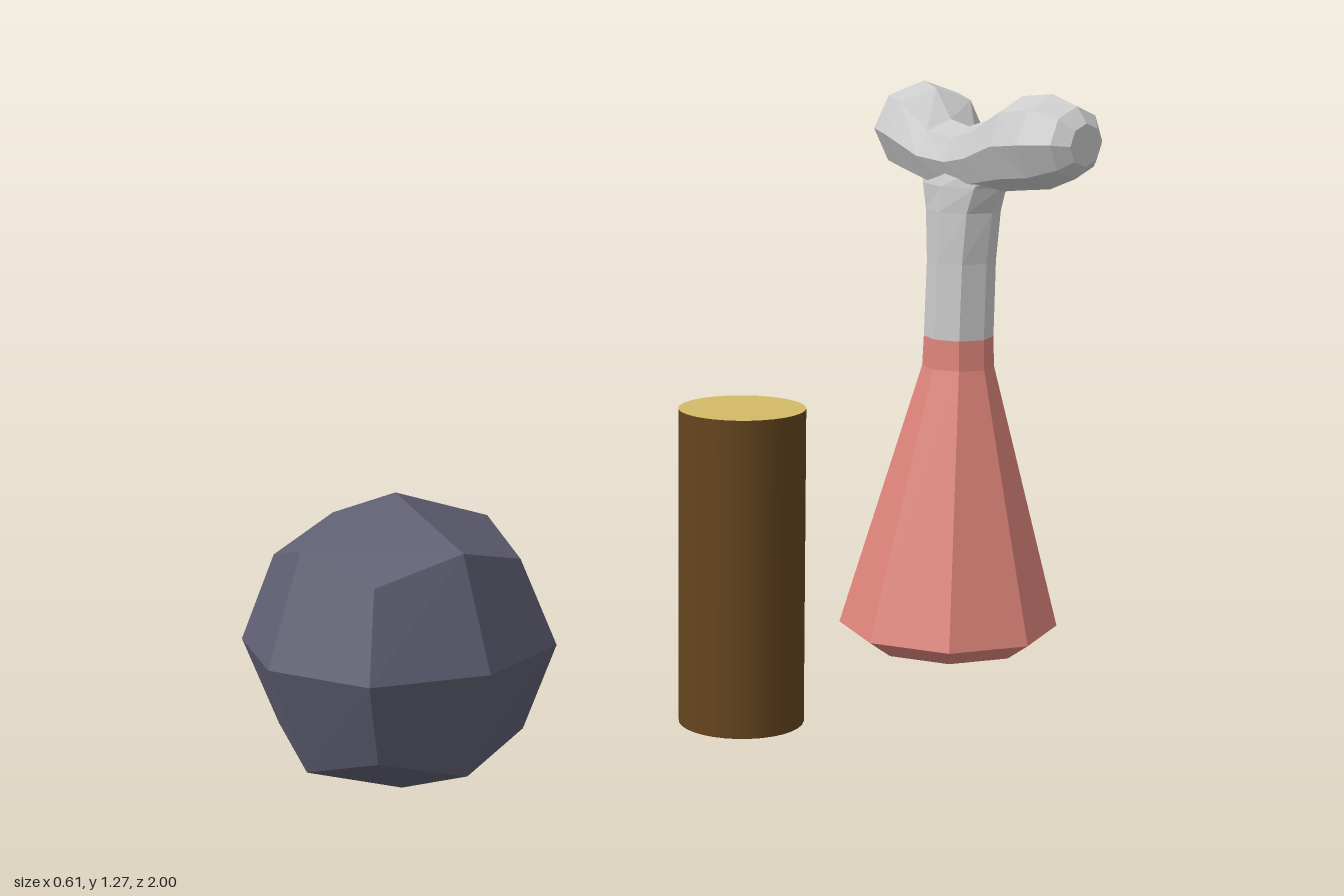
import * as THREE from 'three';

const SIDES = 8;
const mat = (color, flatShading = true) => new THREE.MeshStandardMaterial({ color, flatShading });

function part(name, geometry, material) {
  const mesh = new THREE.Mesh(geometry, material);
  mesh.name = name;
  return mesh;
}

// Octagonal ring about `centre`; u x v points along the loft.
function ring(centre, u, v, ru, rv) {
  return Array.from({ length: SIDES }, (_, j) => {
    const t = (j / SIDES) * Math.PI * 2;
    return centre.clone().addScaledVector(u, Math.cos(t) * ru).addScaledVector(v, Math.sin(t) * rv);
  });
}

// Skin a list of rings, with optional end caps.
function loft(rings, capped) {
  const pos = [];
  const tri = (...pts) => pts.forEach((p) => pos.push(p.x, p.y, p.z));
  for (let j = 0; j < SIDES; j++) {
    const k = (j + 1) % SIDES;
    for (let i = 0; i < rings.length - 1; i++) {
      const [r, s] = [rings[i], rings[i + 1]];
      tri(r[j], r[k], s[k]);
      tri(r[j], s[k], s[j]);
    }
    if (capped) {
      const first = rings[0], last = rings[rings.length - 1];
      tri(first[0], first[k], first[j]);
      tri(last[0], last[j], last[k]);
    }
  }
  const g = new THREE.BufferGeometry();
  g.setAttribute('position', new THREE.Float32BufferAttribute(pos, 3));
  g.computeVertexNormals();
  return g;
}

const X = new THREE.Vector3(1, 0, 0), Y = new THREE.Vector3(0, 1, 0), Z = new THREE.Vector3(0, 0, 1);

// Upright loft from [y, x, z, radiusX, radiusZ] stations
const upright = (stations) =>
  loft(stations.map(([y, x, z, rx, rz]) => ring(new THREE.Vector3(x, y, z), Z, X, rz, rx)), false);

// Sideways loft from [x, y, z, radiusY, radiusZ, yaw] stations
const sideways = (stations) =>
  loft(stations.map(([x, y, z, ry, rz, yaw]) =>
    ring(new THREE.Vector3(x, y, z), Y, Z.clone().applyAxisAngle(Y, yaw), ry, rz)), true);

function createBoulder() {
  // Rounded cube: face centres, edge middles and corners each get their own reach
  const reach = [0, 0.285, 0.209, 0.163];
  const g = new THREE.BoxGeometry(2, 2, 2, 2, 2, 2);
  const p = g.attributes.position;
  for (let i = 0; i < p.count; i++) {
    const v = new THREE.Vector3().fromBufferAttribute(p, i).round();
    v.multiplyScalar(reach[Math.abs(v.x) + Math.abs(v.y) + Math.abs(v.z)]);
    p.setXYZ(i, v.x, v.y, v.z);
  }
  g.computeVertexNormals();
  const boulder = part('boulder', g, mat(0x5f5f73));
  boulder.position.set(-0.02, 0.33, 0.715);
  return boulder;
}

function createLog() {
  const bark = mat(0x65451e, false), wood = mat(0xd2ba66, false);
  const log = part('log', new THREE.CylinderGeometry(0.13, 0.13, 0.66, 32), [bark, wood, wood]);
  log.position.set(-0.02, 0.33, -0.14);
  return log;
}

function createBoneClub() {
  const club = new THREE.Group();
  club.name = 'boneClub';
  const bone = mat(0xcccccc);

  // Flared meat with a cut underside
  club.add(part('meat', upright([
    [0.05, -0.028, -0.76, 0.18, 0.18],
    [0.09, -0.03, -0.76, 0.239, 0.239],
    [0.67, -0.022, -0.769, 0.078, 0.077],
    [0.735, -0.023, -0.77, 0.075, 0.075],
  ]), mat(0xdf857b)));
  const cut = part('cutUnderside', new THREE.CircleGeometry(0.18, SIDES), mat(0xa0262c));
  cut.rotation.x = Math.PI / 2;
  cut.position.set(-0.028, 0.05, -0.76);
  club.add(cut);

  // Shaft flaring into the forked knuckles
  club.add(part('boneShaft', upright([
    [0.735, -0.023, -0.77, 0.075, 0.075],
    [0.9, -0.022, -0.773, 0.074, 0.074],
    [1.01, -0.021, -0.775, 0.085, 0.075],
    [1.065, -0.018, -0.775, 0.107, 0.072],
    [1.12, -0.015, -0.775, 0.13, 0.055],
  ]), bone));
  club.add(part('boneKnuckles', sideways([
    [-0.24, 1.175, -0.835, 0.055, 0.06, -0.45],
    [-0.222, 1.175, -0.825, 0.077, 0.088, -0.45],
    [-0.185, 1.172, -0.815, 0.1, 0.115, -0.4],
    [-0.135, 1.162, -0.802, 0.098, 0.115, -0.4],
    [-0.07, 1.125, -0.782, 0.074, 0.088, -0.2],
    [-0.01, 1.118, -0.775, 0.07, 0.075, 0],
    [0.05, 1.13, -0.775, 0.077, 0.078, 0],
    [0.133, 1.163, -0.785, 0.099, 0.098, 0],
    [0.21, 1.172, -0.793, 0.099, 0.106, 0],
    [0.275, 1.175, -0.797, 0.075, 0.08, 0],
    [0.302, 1.172, -0.797, 0.045, 0.048, 0],
  ]), bone));
  return club;
}

export function createModel() {
  const model = new THREE.Group();
  model.name = 'campProps';
  model.add(createBoulder(), createLog(), createBoneClub());
  return model;
}
